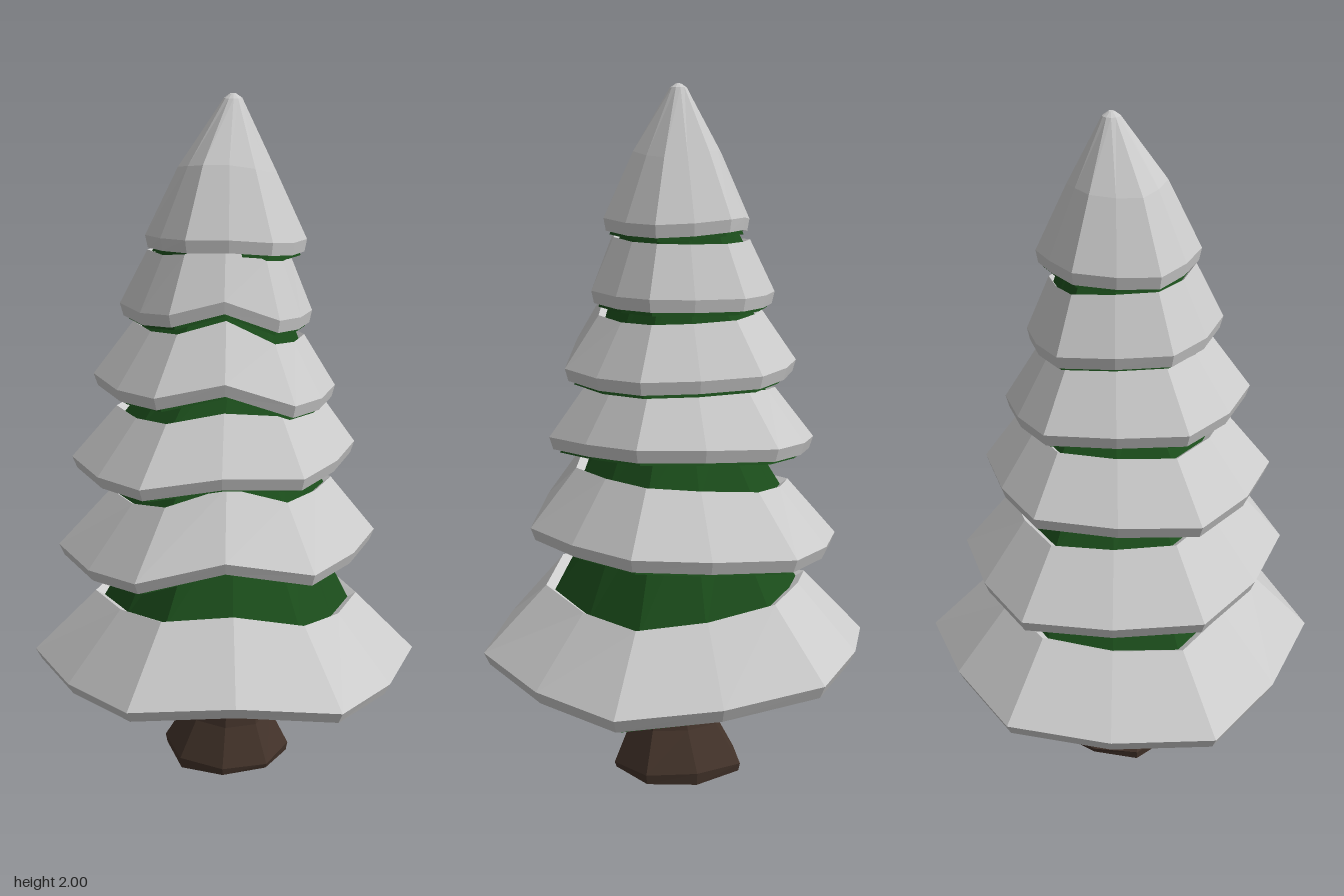
import * as THREE from 'three';

const material = (color) => new THREE.MeshStandardMaterial({ color, flatShading: true, side: THREE.DoubleSide });
const snowMat = material(0xcccccc);
const greenMat = material(0x1b4d1b);
const barkMat = material(0x43332a);

// Skin a stack of equal-length rings, from the inner underside outwards and up; optionally close the ends.
function loft(name, rings, mat, capStart, capEnd) {
  const n = rings[0].length;
  const pos = [];
  const tri = (a, b, c) => pos.push(...a, ...b, ...c);
  for (let k = 0; k < rings.length - 1; k++) {
    const a = rings[k], b = rings[k + 1];
    for (let i = 0; i < n; i++) {
      const j = (i + 1) % n;
      tri(a[i], a[j], b[j]);
      tri(a[i], b[j], b[i]);
    }
  }
  const cap = (ring, up) => {
    const c = [0, 1, 2].map((d) => ring.reduce((sum, p) => sum + p[d], 0) / n);
    ring.forEach((p, i) => {
      const q = ring[(i + 1) % n];
      if (up) tri(p, q, c);
      else tri(q, p, c);
    });
  };
  if (capStart) cap(rings[0], false);
  if (capEnd) cap(rings[rings.length - 1], true);
  const geo = new THREE.BufferGeometry();
  geo.setAttribute('position', new THREE.Float32BufferAttribute(pos, 3));
  geo.computeVertexNormals();
  const mesh = new THREE.Mesh(geo, mat);
  mesh.name = name;
  return mesh;
}

// Tiers from the bottom up.
// reach: extents to +x, -x, +z, -z; y: rim height; sway: tilt in x, tilt in z, saddle wave, raised peak;
// top: scale and height of the snow's upper edge; neck: radius and height where the branches end.
const TIERS = [
  { reach: [0.545, 0.57, 0.55, 0.555], y: 0.38, sway: [-0.015, 0, 0.03, 0.02], top: [0.68, 0.57], neck: [0.2, 0.84] },
  { reach: [0.42, 0.49, 0.415, 0.47], y: 0.72, sway: [0, 0.025, 0, 0.07], top: [0.69, 0.89], neck: [0.18, 1.06] },
  { reach: [0.35, 0.45, 0.36, 0.4], y: 1, sway: [0.01, 0.01, 0, 0.03], top: [0.71, 1.15], neck: [0.15, 1.3] },
  { reach: [0.285, 0.38, 0.315, 0.345], y: 1.21, sway: [-0.02, -0.01, 0, 0.07], top: [0.7, 1.36], neck: [0.13, 1.5] },
  { reach: [0.22, 0.3, 0.24, 0.28], y: 1.42, sway: [-0.015, 0, 0, 0.06], top: [0.74, 1.57], neck: [0.1, 1.74] },
  { reach: [0.21, 0.23, 0.205, 0.205], y: 1.625, sway: [-0.01, 0, 0.01, 0], top: [0.6, 1.81], neck: [0.06, 1.8] },
];

function makeTier({ reach, y, sway, top, neck }, index) {
  const tier = new THREE.Group();
  tier.name = 'branchTier';
  const isTip = index === TIERS.length - 1;

  // Six-cornered rim with twelve points, from the front round by the left
  const rim = Array.from({ length: 12 }, (_, i) => {
    const a = (i / 12) * Math.PI * 2, sin = Math.sin(a), cos = Math.cos(a);
    const corner = 1 + 0.04 * Math.cos(6 * a);
    const fromPeak = a + 0.6;
    const lift = sway[0] * sin + sway[1] * cos + sway[2] * Math.cos(2 * fromPeak)
      + sway[3] * Math.max(0, Math.cos(fromPeak)) ** 12;
    return { x: sin * corner * reach[sin > 0 ? 0 : 1], z: cos * corner * reach[cos > 0 ? 2 : 3], lift, sin, cos };
  });
  const ring = (scale, h) => rim.map((p) => [p.x * scale, h + p.lift, p.z * scale]);
  const circle = (r, h, dx) => rim.map((p) => [p.sin * r + dx, h, p.cos * r]);

  // Snow blanket with a thick lower lip
  const [scale, topY] = top;
  const blanket = [ring(0.88, y), ring(0.97, y - 0.035), ring(1, y), ring(scale, topY)];
  blanket.push(...(isTip
    ? [circle(0.025, 1.988, 0.012), circle(0.008, 2, 0.012)]
    : [ring(scale - 0.06, topY - 0.02)]));
  tier.add(loft('snow', blanket, snowMat, false, isTip));

  // Branches: hollow underside, edge just below the snow, then up to the neck
  tier.add(loft('branches', [
    circle(neck[0] * 0.5, (y + neck[1]) / 2, 0),
    ring(0.7, y + 0.06),
    ring(0.92, y - 0.045),
    ring(scale - 0.03, topY - 0.03),
    circle(neck[0], neck[1], 0),
  ], greenMat, true, true));
  return tier;
}

// Trunk: irregular eight-sided rings flaring into roots, [radius, height, z shift]
function makeTrunk() {
  const profile = [[0.19, 0, 0], [0.195, 0.035, 0], [0.135, 0.15, 0.01], [0.11, 0.26, 0.02], [0.105, 0.36, 0.025], [0.085, 0.62, 0.01]];
  const rings = profile.map(([r, y, dz], k) => Array.from({ length: 8 }, (_, i) => {
    const a = ((i + 0.15) / 8) * Math.PI * 2;
    const knot = 1 + (k < 2 ? 0.07 : 0.04) * Math.sin(i * 2.6);
    const lift = k === 0 ? 0.01 * (1 + Math.cos(2 * a)) : 0;
    return [Math.sin(a) * r * knot * 0.93 - 0.01, y + lift, Math.cos(a) * r * knot + dz];
  }));
  return loft('trunk', rings, barkMat, true, true);
}

export function createModel() {
  const tree = new THREE.Group();
  tree.name = 'snowyTree';
  tree.add(makeTrunk(), ...TIERS.map(makeTier));
  return tree;
}
